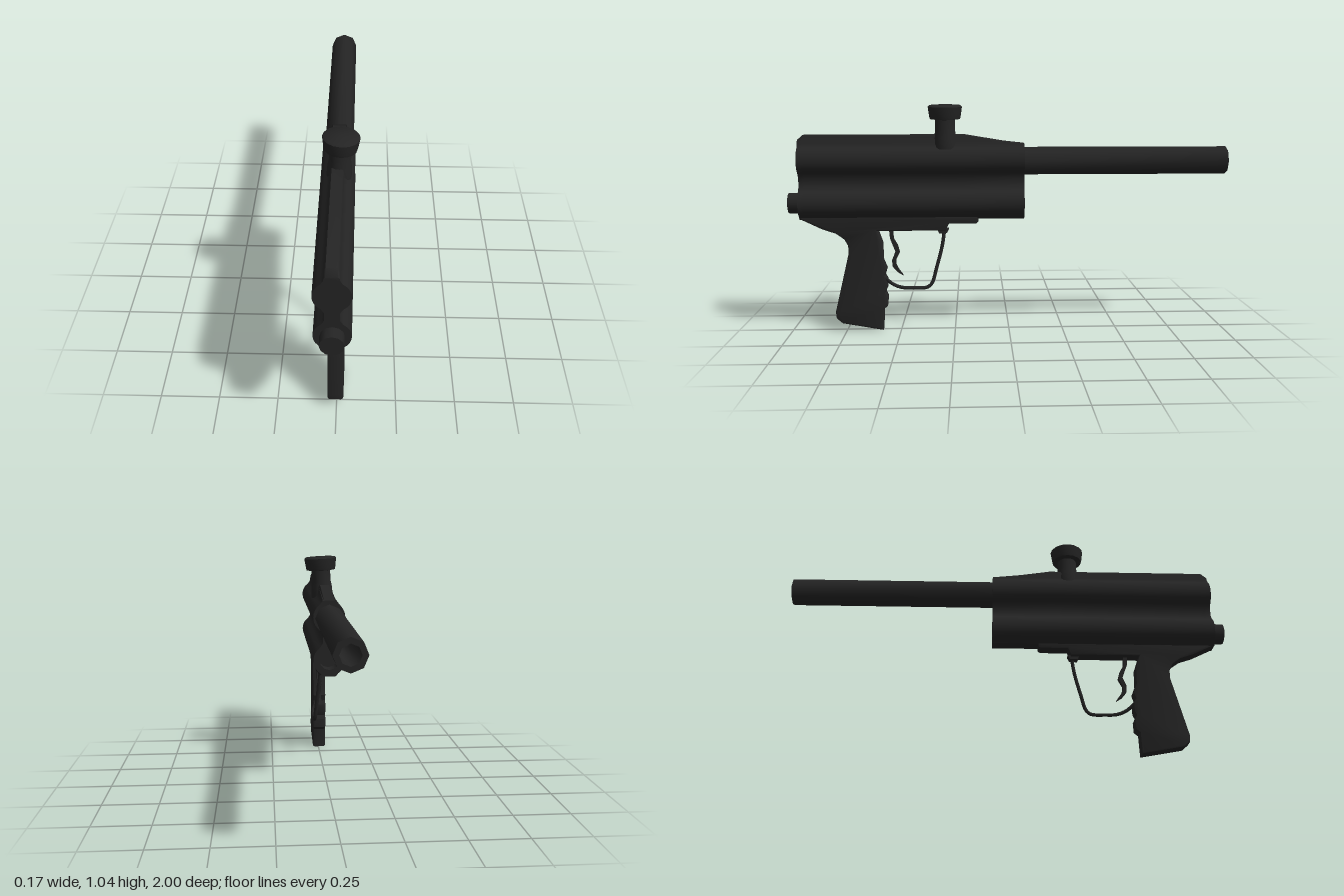
import * as THREE from 'three';
import { toCreasedNormals } from 'three/addons/utils/BufferGeometryUtils.js';

const black = new THREE.MeshStandardMaterial({ color: 0x242424 });
black.name = 'matte black';

const CX = -0.008; // centre line of the body

export function createModel() {
  const model = new THREE.Group();
  model.name = 'marker';

  const add = (name, geometry, crease = 0.9) => {
    const mesh = new THREE.Mesh(toCreasedNormals(geometry, crease), black);
    mesh.name = name;
    model.add(mesh);
    return mesh;
  };
  const vectors = (points) => points.map((p) => new THREE.Vector2(...p));

  // Side profile given as [z, y], extruded across x
  const sidePlate = (name, points, width, x, bevel) => {
    const geo = new THREE.ExtrudeGeometry(new THREE.Shape(vectors(points)), {
      depth: width - 2 * bevel, bevelEnabled: bevel > 0, bevelThickness: bevel,
      bevelSize: bevel, bevelOffset: -bevel, bevelSegments: 2,
    });
    geo.translate(0, 0, bevel - width / 2).rotateY(-Math.PI / 2).translate(x, 0, 0);
    return add(name, geo, 0.6);
  };

  // Body: twin-tube cross-section, mirrored about the centre line
  const half = [[0.022, 0.905], [0.028, 0.895], [0.03, 0.865]];
  for (const y of [0.79, 0.595]) {
    for (let i = 0; i <= 8; i++) {
      const a = THREE.MathUtils.degToRad(56 - i * 14);
      half.push([0.072 * Math.cos(a), y + 0.072 * Math.sin(a)]);
    }
    if (y > 0.7) half.push([0.028, 0.71], [0.028, 0.675]);
  }
  half.push([0.03, 0.522]);
  const outline = [...half.map(([x, y]) => [-x, y]), ...half.slice().reverse()];
  const section = new THREE.Shape(vectors(outline));
  section.holes.push(new THREE.Path().absarc(0, 0.595, 0.044, 0, Math.PI * 2, true));
  const body = new THREE.ExtrudeGeometry(section, {
    depth: 1.02, steps: 3, bevelEnabled: false, curveSegments: 6,
  });
  // Slope the top toward the muzzle and round its rear corner
  const stations = [-0.07, 0.2, 0.925, 0.95];
  const drops = [0.045, 0, 0, 0.022];
  const pos = body.attributes.position;
  for (let i = 0; i < pos.count; i++) {
    const k = Math.round(pos.getZ(i) / 0.34);
    const y = pos.getY(i);
    pos.setZ(i, stations[k]);
    if (y > 0.88) pos.setY(i, y - drops[k] * (y - 0.86) / 0.045);
  }
  body.translate(CX, 0, 0);
  add('body', body);

  // Rear plug, which also closes the lower tube
  const plug = new THREE.CylinderGeometry(0.047, 0.047, 1, 12);
  add('rearPlug', plug.rotateX(Math.PI / 2).translate(CX, 0.595, 0.5));

  // Barrel with an open bore
  const barrel = new THREE.LatheGeometry(
    vectors([[0.063, 0], [0.063, 0.97], [0.04, 0.97], [0.04, 0.6], [0, 0.6]]), 8);
  add('barrel', barrel.rotateX(-Math.PI / 2).translate(CX, 0.785, -0.03));

  // Feed neck and cap, leaning slightly
  const neck = new THREE.LatheGeometry(vectors([
    [0, -0.02], [0.052, -0.02], [0.05, 0.03], [0.045, 0.06], [0.045, 0.11], [0.068, 0.113],
    [0.071, 0.125], [0.077, 0.168], [0.07, 0.174], [0, 0.176],
  ]), 16);
  const feed = add('feedNeck', neck);
  feed.position.set(0, 0.863, 0.288);
  feed.rotation.z = -0.05;

  // Grip frame with finger bumps
  sidePlate('gripFrame', [
    [0.95, 0.54], [0.95, 0.525], [0.85, 0.477], [0.79, 0.457], [0.752, 0.43], [0.735, 0.4],
    [0.735, 0.36], [0.8, 0.09], [0.797, 0.06], [0.77, 0.036], [0.583, 0.002], [0.58, 0.1],
    [0.562, 0.115], [0.56, 0.16], [0.57, 0.18], [0.561, 0.2], [0.56, 0.24], [0.571, 0.26],
    [0.562, 0.29], [0.578, 0.33], [0.58, 0.41], [0.6, 0.468], [0.29, 0.468], [0.275, 0.5],
    [0.15, 0.5], [0.14, 0.51], [0.14, 0.54],
  ], 0.066, -0.004, 0.009);

  // Trigger
  sidePlate('trigger', [
    [0.55, 0.48], [0.545, 0.43], [0.522, 0.37], [0.538, 0.33], [0.536, 0.3], [0.515, 0.275],
    [0.488, 0.258], [0.508, 0.285], [0.52, 0.31], [0.52, 0.33], [0.502, 0.365],
    [0.512, 0.4], [0.53, 0.43], [0.53, 0.48],
  ], 0.022, 0, 0);

  // Trigger guard, a thin bow drifting to the left
  const guardPath = new THREE.CatmullRomCurve3([
    [0.005, 0.475, 0.295], [0.012, 0.4, 0.306], [0.02, 0.3, 0.332], [0.026, 0.225, 0.355],
    [0.027, 0.207, 0.375], [0.027, 0.204, 0.44], [0.027, 0.207, 0.495],
    [0.022, 0.225, 0.54], [0.012, 0.255, 0.575],
  ].map((p) => new THREE.Vector3(...p)), false, 'centripetal');
  const guard = new THREE.TubeGeometry(guardPath, 32, 0.008, 8);
  add('triggerGuard', guard, 1.2).scale.x = 1.2;

  // Guard mount under the frame
  sidePlate('guardMount', [
    [0.33, 0.475], [0.32, 0.455], [0.285, 0.455], [0.275, 0.475],
  ], 0.036, 0, 0);

  return model;
}
